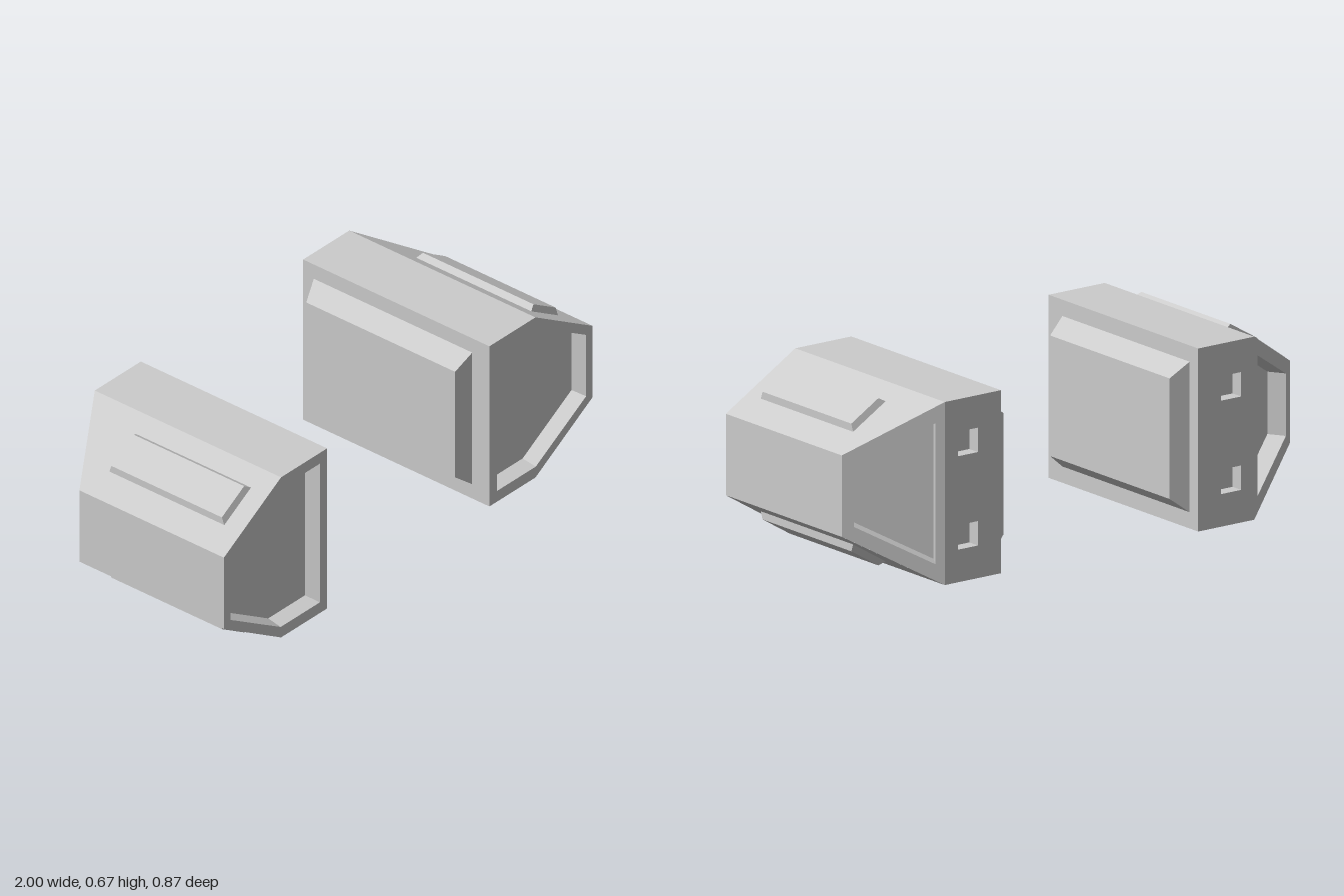
import * as THREE from 'three';
import { mergeGeometries } from 'three/addons/utils/BufferGeometryUtils.js';

const H = 0.674, FRONT = 0.435;
const material = new THREE.MeshStandardMaterial({ color: 0xcccccc, flatShading: true });
const vec = (x, y, z) => new THREE.Vector3(x, y, z);
const rect = (x0, y0, x1, y1) => [[x0, y0], [x1, y0], [x1, y1], [x0, y1]];

// Local frame of a face: u and v lie in it, w points outward
function frame(origin, u, w) {
  u.normalize();
  w.normalize();
  return new THREE.Matrix4().makeBasis(u, w.clone().cross(u), w).setPosition(origin);
}

// Flat polygon at height z, with optional holes
function flat(ring, z = 0, holes = []) {
  const toV2 = (r) => r.map(([x, y]) => new THREE.Vector2(x, y));
  const shape = new THREE.Shape(toV2(ring));
  shape.holes = holes.map((h) => new THREE.Path(toV2(h)));
  return finish(new THREE.ShapeGeometry(shape).translate(0, 0, z).toNonIndexed());
}

// Band of quads between two rings of 3D points
function band(a, b) {
  const pos = [];
  a.forEach((p, i) => {
    const j = (i + 1) % a.length;
    for (const q of [p, a[j], b[j], p, b[j], b[i]]) pos.push(...q);
  });
  const g = new THREE.BufferGeometry();
  g.setAttribute('position', new THREE.Float32BufferAttribute(pos, 3));
  return finish(g);
}

function finish(g) {
  g.deleteAttribute('uv');
  g.computeVertexNormals();
  return g;
}

const lift = (ring, z) => ring.map(([x, y]) => [x, y, z]);

// Raised block (height > 0) from counter-clockwise base and top rings
function frustum(base, top, height) {
  return mergeGeometries([band(lift(base, 0), lift(top, height)), flat(top, height)]);
}

// Face with sunken pockets: each has a counter-clockwise rim, a floor and a depth
function panel(outline, pockets) {
  const parts = [flat(outline, 0, pockets.map((p) => p.rim))];
  for (const { rim, floor = rim, depth } of pockets) {
    parts.push(band(lift(rim, 0), lift(floor, -depth)), flat(floor, -depth));
  }
  return mergeGeometries(parts);
}

// Reflected copy with the triangle winding restored
function mirrored(geometry, sx, sy) {
  const g = geometry.clone();
  const p = g.attributes.position;
  for (let i = 0; i < p.count; i++) p.setXYZ(i, p.getX(i) * sx, p.getY(i) * sy, p.getZ(i));
  for (let i = 0; i < p.count; i += 3) {
    const b = vec().fromBufferAttribute(p, i + 1), c = vec().fromBufferAttribute(p, i + 2);
    p.setXYZ(i + 1, c.x, c.y, c.z);
    p.setXYZ(i + 2, b.x, b.y, b.z);
  }
  return finish(g);
}

function podParts() {
  const section = [[0.44, 0], [0.69, 0], [1, 0.187], [1, 0.487], [0.69, H], [0.44, H]];
  const backZ = (x) => -FRONT + Math.max(0, x - 0.69) * (0.195 / 0.31);

  // Six-sided shell, cut back at an angle on the outer rear corner
  const shell = band(section.map(([x, y]) => [x, y, backZ(x)]), lift(section, FRONT));

  // Front face with a large shallow recess
  const front = panel(section, [{
    rim: [[0.48, 0.045], [0.692, 0.045], [0.965, 0.208], [0.965, 0.466], [0.692, 0.629], [0.48, 0.629]],
    floor: [[0.49, 0.055], [0.69, 0.055], [0.955, 0.214], [0.955, 0.46], [0.69, 0.619], [0.49, 0.619]],
    depth: 0.06,
  }]).translate(0, 0, FRONT);

  // Rear face with two square sockets
  const back = panel(rect(-0.69, 0, -0.44, H), [
    { rim: rect(-0.632, 0.12, -0.542, 0.21), depth: 0.05 },
    { rim: rect(-0.632, H - 0.21, -0.542, H - 0.12), depth: 0.05 },
  ]).applyMatrix4(frame(vec(0, 0, -FRONT), vec(-1, 0, 0), vec(0, 0, -1)));

  // Angled rear face with a trapezoid recess
  const angled = panel([[0, 0], [0, H], [-0.366, 0.487], [-0.366, 0.187]], [{
    rim: [[-0.322, 0.222], [-0.034, 0.078], [-0.034, H - 0.078], [-0.322, H - 0.222]],
    depth: 0.07,
  }]).applyMatrix4(frame(vec(0.69, 0, -FRONT), vec(-0.31, 0, -0.195), vec(0.195, 0, -0.31)));

  // Bevelled block on the inner side
  const block = frustum(rect(-0.385, 0.06, 0.355, 0.614), rect(-0.36, 0.115, 0.335, 0.559), 0.07)
    .applyMatrix4(frame(vec(0.44, 0, 0), vec(0, 0, 1), vec(-1, 0, 0)));

  // Bevelled pads on the upper and lower slopes
  const upperPad = frustum(rect(0.082, -0.355, 0.251, 0.182), rect(0.096, -0.344, 0.237, 0.172), 0.024)
    .applyMatrix4(frame(vec(0.69, H, 0), vec(0.31, -0.187, 0), vec(0.187, 0.31, 0)));
  const lowerPad = mirrored(upperPad, 1, -1).translate(0, H, 0);

  return {
    shell, frontRecess: front, rearSockets: back, angledRearRecess: angled,
    innerBlock: block, upperPad, lowerPad,
  };
}

export function createModel() {
  const model = new THREE.Group();
  model.name = 'podPair';
  const parts = podParts();
  for (const side of [1, -1]) {
    const pod = new THREE.Group();
    pod.name = side > 0 ? 'leftPod' : 'rightPod';
    for (const [name, geometry] of Object.entries(parts)) {
      const mesh = new THREE.Mesh(side > 0 ? geometry : mirrored(geometry, -1, 1), material);
      mesh.name = name;
      pod.add(mesh);
    }
    model.add(pod);
  }
  return model;
}
